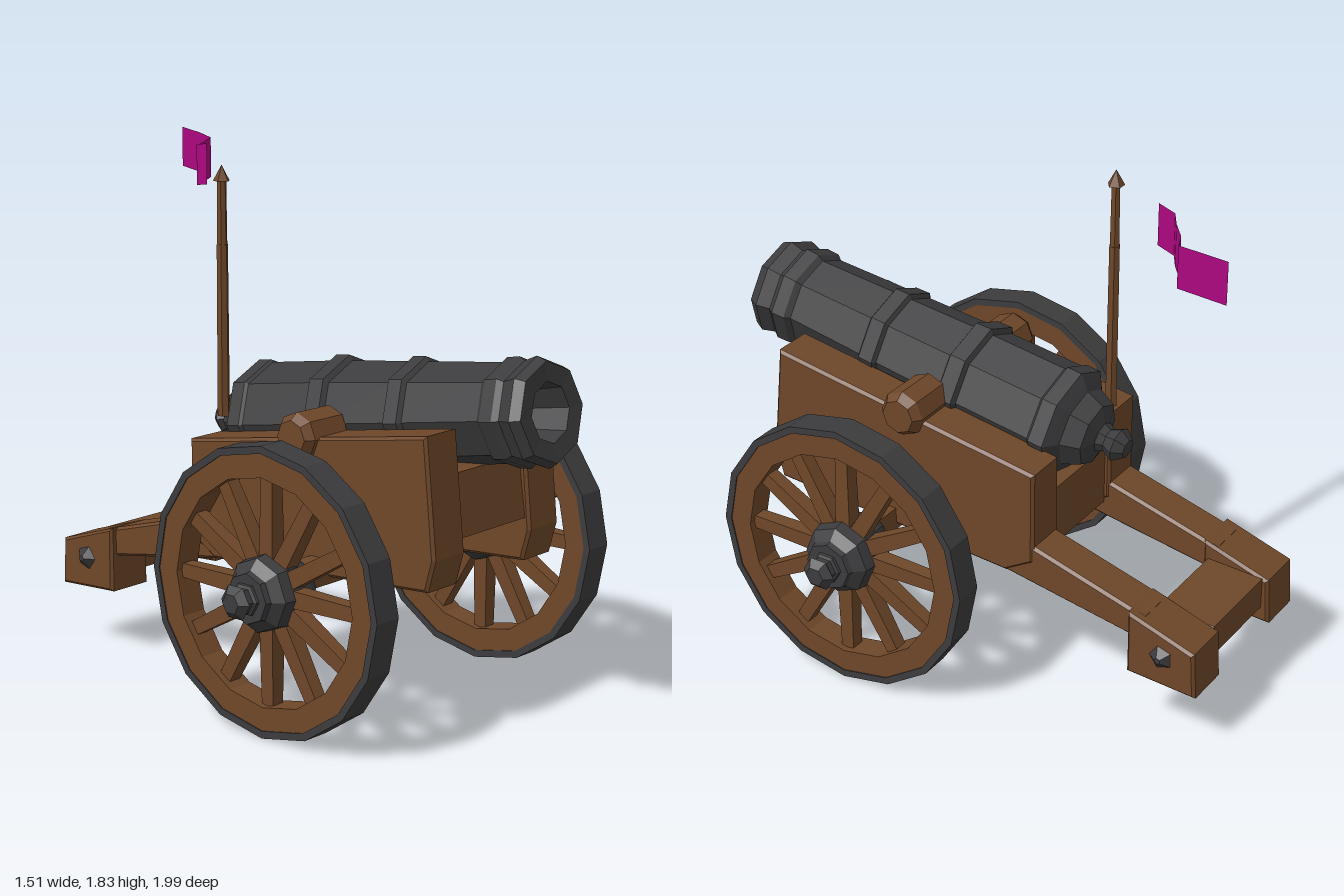
import * as THREE from 'three';

const material = (color, extra = {}) =>
  new THREE.MeshStandardMaterial({ color, flatShading: true, ...extra });
const wood = material(0x6e4729);
const iron = material(0x3c3c3e);
const cloth = material(0xac087f, { side: THREE.DoubleSide });

function add(parent, name, geometry, mat, x = 0, y = 0, z = 0) {
  const mesh = new THREE.Mesh(geometry, mat);
  mesh.name = name;
  mesh.position.set(x, y, z);
  parent.add(mesh);
  return mesh;
}

// Side outline given as [z, y] points, extruded across x from x0 to x1
function board(outline, x0, x1) {
  const shape = new THREE.Shape(outline.map(([z, y]) => new THREE.Vector2(z, y)));
  const bevel = 0.01;
  const geo = new THREE.ExtrudeGeometry(shape, {
    depth: x1 - x0 - 2 * bevel, bevelSize: bevel, bevelThickness: bevel,
    bevelOffset: -bevel, bevelSegments: 1,
  });
  geo.rotateY(-Math.PI / 2);
  geo.translate(x1 - bevel, 0, 0);
  return geo;
}

// Turned part around y from [radius, height] pairs
const turned = (profile, sides) =>
  new THREE.LatheGeometry(profile.map(([r, h]) => new THREE.Vector2(r, h)), sides);

const ring = (ri, ro, h, sides) =>
  turned([[ri, -h], [ro, -h], [ro, h], [ri, h], [ri, -h]], sides);

function createWheel(side) {
  const wheel = new THREE.Group();
  wheel.name = side > 0 ? 'leftWheel' : 'rightWheel';
  add(wheel, 'rim', ring(0.385, 0.475, 0.048, 16), wood);
  add(wheel, 'tire', ring(0.465, 0.49, 0.052, 16), iron);
  for (let i = 0; i < 12; i++) {
    const a = (i / 12) * Math.PI * 2;
    const geo = new THREE.CylinderGeometry(0.034, 0.042, 0.31, 4);
    geo.rotateY(Math.PI / 4);
    geo.translate(0, 0.24, 0);
    geo.rotateX(Math.PI / 2);
    geo.rotateY(a);
    add(wheel, 'spoke', geo, wood);
  }
  // Hub runs along the axle, outer end towards +y
  add(wheel, 'hub', turned([[0, -0.13], [0.075, -0.13], [0.1, -0.1], [0.125, -0.06],
    [0.135, 0], [0.125, 0.07], [0.09, 0.1], [0.085, 0.12], [0, 0.12]], 8), iron);
  add(wheel, 'axleCap', turned([[0.06, 0.1], [0.055, 0.13], [0.045, 0.135],
    [0.045, 0.155], [0.062, 0.17], [0.035, 0.195], [0, 0.195]], 6), iron);
  wheel.position.set(side * 0.56, 0.49, 0.285);
  wheel.rotation.z = -side * Math.PI / 2;
  return wheel;
}

function createBarrel() {
  const profile = [
    // knob and rounded breech
    [0, -0.69], [0.035, -0.685], [0.062, -0.65], [0.042, -0.61], [0.055, -0.585],
    [0.115, -0.565], [0.145, -0.5], [0.17, -0.485], [0.2, -0.465], [0.2, -0.41], [0.19, -0.4],
    // tube with raised bands
    [0.188, -0.11], [0.208, -0.1], [0.206, -0.04], [0.186, -0.03],
    [0.178, 0.23], [0.194, 0.24], [0.192, 0.295], [0.175, 0.305],
    // muzzle and bore
    [0.165, 0.61], [0.18, 0.63], [0.182, 0.68], [0.168, 0.7], [0.182, 0.75],
    [0.165, 0.785], [0.1, 0.78], [0.085, 0.6], [0, 0.6],
  ];
  const barrel = add(new THREE.Group(), 'barrel', turned(profile, 8), iron, 0, 0.965, 0.2);
  barrel.rotation.x = Math.PI / 2 - 0.16;
  return barrel;
}

function createFlag() {
  // [x, z, bottom y] down the length of the cloth
  const path = [[0.065, -0.6, 1.67], [0.085, -0.67, 1.66], [0.14, -0.705, 1.655],
    [0.2, -0.755, 1.65], [0.28, -0.79, 1.66], [0.305, -0.87, 1.67], [0.335, -0.99, 1.68]];
  const positions = [];
  const index = [];
  path.forEach(([x, z, y], i) => {
    positions.push(x, y, z, x, y + 0.145, z);
    if (i) index.push(2 * i - 2, 2 * i, 2 * i - 1, 2 * i, 2 * i + 1, 2 * i - 1);
  });
  const geo = new THREE.BufferGeometry();
  geo.setAttribute('position', new THREE.Float32BufferAttribute(positions, 3));
  geo.setIndex(index);
  geo.computeVertexNormals();
  return geo;
}

export function createModel() {
  const model = new THREE.Group();
  model.name = 'fieldCannon';

  model.add(createBarrel());

  // Carriage sides, trails, axle ends and wheels
  const cheek = [[0.73, 1.03], [0.77, 0.63], [0.74, 0.52], [-0.2, 0.455], [-0.31, 0.52], [-0.31, 0.86]];
  const trail = [[-0.1, 0.62], [-0.31, 0.58], [-0.74, 0.46], [-0.74, 0.36], [-0.1, 0.47]];
  const foot = [[-0.69, 0.475], [-0.94, 0.395], [-0.95, 0.225], [-0.69, 0.24]];
  for (const side of [1, -1]) {
    const span = (a, b) => (side > 0 ? [a, b] : [-b, -a]);
    add(model, 'carriageCheek', board(cheek, ...span(0.17, 0.33)), wood);
    add(model, 'trailBeam', board(trail, ...span(0.175, 0.325)), wood);
    add(model, 'trailFoot', board(foot, ...span(0.17, 0.35)), wood);
    add(model, 'axleEnd', new THREE.BoxGeometry(0.2, 0.085, 0.075), wood, side * 0.345, 0.51, 0.285);

    const stud = add(model, 'footStud', new THREE.CylinderGeometry(0.012, 0.05, 0.03, 5), iron,
      side * 0.36, 0.345, -0.82);
    stud.rotation.z = -side * Math.PI / 2;

    const trunnion = add(model, 'trunnion',
      turned([[0, -0.1], [0.08, -0.1], [0.082, 0.06], [0.06, 0.09], [0, 0.09]], 8), wood,
      side * 0.285, 0.95, 0.2);
    trunnion.rotation.z = -side * Math.PI / 2;

    model.add(createWheel(side));
  }

  // Cross members joining the two sides
  add(model, 'frontTransom', board([[0.72, 0.88], [0.75, 0.67], [0.62, 0.65], [0.6, 0.88]], -0.18, 0.18), wood);
  add(model, 'rearTransom', board([[-0.2, 0.72], [-0.2, 0.51], [-0.29, 0.5], [-0.29, 0.72]], -0.18, 0.18), wood);
  add(model, 'carriageFloor', board([[0.7, 0.74], [0.72, 0.665], [-0.28, 0.505], [-0.28, 0.58]], -0.18, 0.18), wood);
  add(model, 'trailCrossbar', board([[-0.71, 0.41], [-0.92, 0.4], [-0.92, 0.285], [-0.71, 0.29]], -0.18, 0.18), wood);

  // Flagpole with a pointed tip
  add(model, 'flagpoleLower', new THREE.CylinderGeometry(0.02, 0.022, 0.6, 6), wood, -0.15, 1.21, -0.32);
  add(model, 'flagpoleUpper', new THREE.CylinderGeometry(0.016, 0.018, 0.25, 6), wood, -0.15, 1.62, -0.32);
  add(model, 'flagpoleTip', new THREE.ConeGeometry(0.03, 0.055, 5), wood, -0.15, 1.755, -0.32);
  add(model, 'flag', createFlag(), cloth);

  return model;
}
